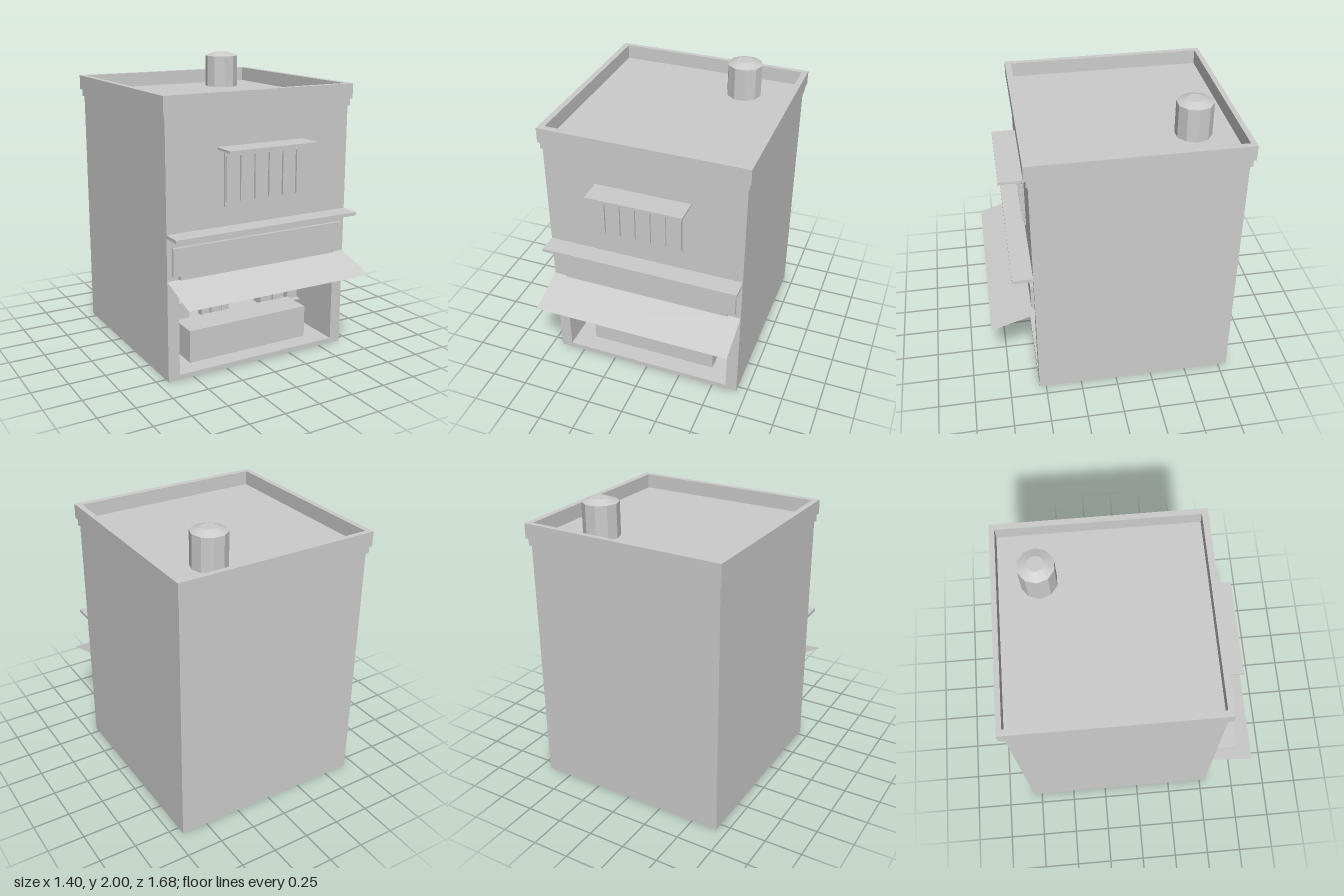
import * as THREE from 'three';

export function createModel() {
  const model = new THREE.Group();
  const grey = new THREE.MeshStandardMaterial({ color: 0xcccccc });
  grey.name = 'light grey';
  grey.side = THREE.DoubleSide;

  const add = (name, geometry, parent = model) => {
    const mesh = new THREE.Mesh(geometry, grey);
    mesh.name = name;
    parent.add(mesh);
    return mesh;
  };
  // box given by its limits on each axis
  const box = (name, x0, x1, y0, y1, z0, z1, parent) => {
    const g = new THREE.BoxGeometry(x1 - x0, y1 - y0, z1 - z0);
    g.translate((x0 + x1) / 2, (y0 + y1) / 2, (z0 + z1) / 2);
    return add(name, g, parent);
  };
  const group = (name) => {
    const g = new THREE.Group();
    g.name = name;
    model.add(g);
    return g;
  };
  const rect = (T, x0, x1, y0, y1) => new T([
    new THREE.Vector2(x0, y0), new THREE.Vector2(x1, y0),
    new THREE.Vector2(x1, y1), new THREE.Vector2(x0, y1),
  ]);

  // building: solid rear, front part with the shop opening cut through
  const FRONT = 0.545, BACK = -0.81, ROOM = 0;
  box('rearBlock', -0.68, 0.68, 0, 1.7, BACK, ROOM);
  const facade = rect(THREE.Shape, -0.68, 0.68, 0, 1.7);
  facade.holes.push(rect(THREE.Path, -0.6, 0.6, 0.035, 0.71));
  const front = new THREE.ExtrudeGeometry(facade, { depth: FRONT - ROOM, bevelEnabled: false });
  front.translate(0, 0, ROOM);
  add('shopFront', front);

  // cornice and parapet around the flat roof
  box('cornice', -0.69, 0.69, 1.7, 1.75, -0.825, 0.557);
  const rim = rect(THREE.Shape, -0.7, 0.7, -0.57, 0.84);
  rim.holes.push(rect(THREE.Path, -0.66, 0.66, -0.527, 0.805));
  const parapet = new THREE.ExtrudeGeometry(rim, { depth: 0.1, bevelEnabled: false });
  parapet.rotateX(-Math.PI / 2);
  parapet.translate(0, 1.75, 0);
  add('parapet', parapet);

  // ten-sided water tank on the roof
  const tank = group('waterTank');
  tank.position.set(0.32, 0, -0.545);
  const wall = new THREE.CylinderGeometry(0.12, 0.12, 0.225, 10).toNonIndexed();
  wall.computeVertexNormals();
  const lid = new THREE.CylinderGeometry(0.055, 0.12, 0.025, 10);
  for (const [name, g, y] of [['tankWall', wall, 1.8625], ['tankLid', lid, 1.9875]]) {
    g.rotateY(Math.PI / 2);
    g.translate(0, y, 0);
    add(name, g, tank);
  }

  // upper window with upright slats and a small canopy
  const win = group('window');
  box('windowPanel', -0.272, 0.272, 1.12, 1.47, FRONT, 0.554, win);
  for (let i = 0; i < 6; i++) {
    const x = -0.265 + i * 0.106;
    box('windowSlat', x - 0.003, x + 0.003, 1.15, 1.445, 0.554, 0.57, win);
  }
  box('windowCanopy', -0.325, 0.325, 1.492, 1.508, FRONT, 0.71);

  // ledge, sign board and trim above the opening
  box('ledge', -0.68, 0.68, 0.967, 0.99, FRONT, 0.68);
  box('signBoard', -0.645, 0.645, 0.715, 0.9, FRONT, 0.566);
  box('openingTrim', -0.59, 0.59, 0.63, 0.715, 0.535, 0.555);

  // sloping awning sheet
  const drop = 0.095, reach = 0.295;
  const awning = new THREE.PlaneGeometry(1.36, Math.hypot(drop, reach));
  awning.rotateX(-Math.atan2(reach, drop));
  awning.translate(0, 0.6375, FRONT + reach / 2);
  add('awning', awning);

  // counter and stocked shelves inside
  box('counter', -0.46, 0.46, 0.035, 0.262, 0.2, 0.42);
  const shelves = group('shelves');
  box('lowerShelf', -0.6, 0.6, 0.2, 0.21, ROOM, 0.16, shelves);
  box('upperShelf', -0.6, 0.6, 0.395, 0.41, ROOM, 0.16, shelves);

  // goods: centre x, width, top y
  const goods = (base, items) => items.forEach(([x, w, top]) =>
    box('goods', x - w / 2, x + w / 2, base, top, 0.08 - w / 2, 0.08 + w / 2, shelves));
  goods(0.41, [
    [-0.56, 0.085, 0.49], [-0.45, 0.07, 0.47], [-0.36, 0.08, 0.535], [-0.26, 0.085, 0.465],
    [-0.18, 0.055, 0.485], [-0.095, 0.085, 0.525], [-0.01, 0.06, 0.455], [0.065, 0.07, 0.465],
    [0.14, 0.055, 0.5], [0.205, 0.055, 0.465], [0.29, 0.09, 0.49], [0.385, 0.065, 0.55],
    [0.465, 0.08, 0.46], [0.55, 0.09, 0.49],
  ]);
  goods(0.21, [
    [-0.555, 0.085, 0.295], [-0.355, 0.09, 0.34], [-0.175, 0.06, 0.3], [-0.095, 0.08, 0.32],
    [-0.015, 0.06, 0.31], [0.32, 0.095, 0.315], [0.43, 0.09, 0.285], [0.555, 0.085, 0.295],
  ]);
  // row of small boxes hung along the top
  for (let i = 0; i < 10; i++) {
    const x = -0.52 + i * 0.1144;
    box('hangingBox', x - 0.033, x + 0.033, 0.505, 0.583, 0.17, 0.23, shelves);
  }

  return model;
}
